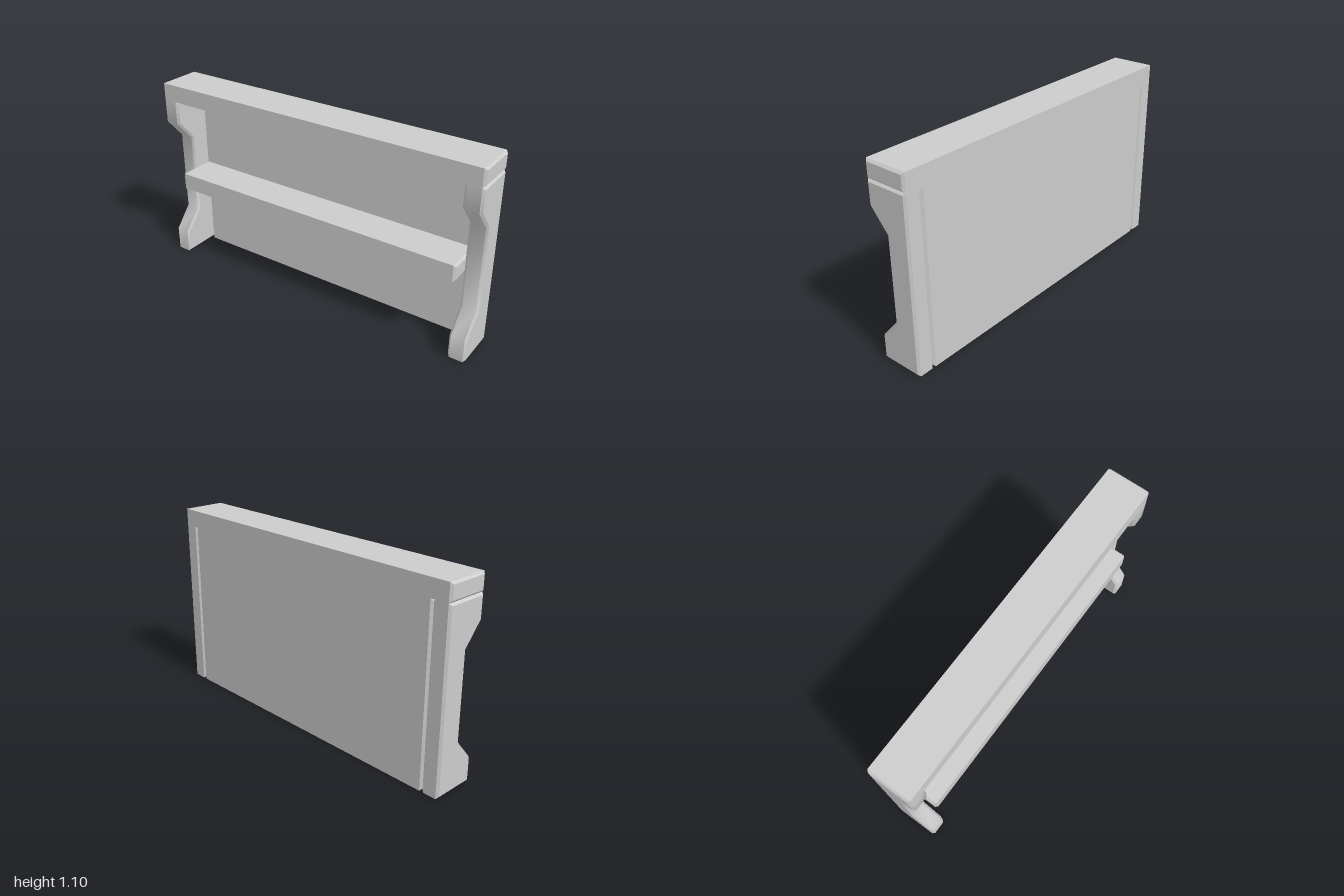
import * as THREE from 'three';
import { toCreasedNormals } from 'three/addons/utils/BufferGeometryUtils.js';

const BEVEL = 0.012;
const CREASE = THREE.MathUtils.degToRad(44);

// Chamfered slab: a (z, y) outline extruded along x, centred on x = 0
function slab(outline, width) {
  const shape = new THREE.Shape(outline.map(([z, y]) => new THREE.Vector2(z, y)));
  const depth = width - 2 * BEVEL;
  const geometry = new THREE.ExtrudeGeometry(shape, {
    depth,
    bevelEnabled: true,
    bevelSegments: 1,
    bevelSize: BEVEL,
    bevelThickness: BEVEL,
    bevelOffset: -BEVEL,
  });
  geometry.translate(0, 0, -depth / 2);
  geometry.rotateY(-Math.PI / 2);
  return toCreasedNormals(geometry, CREASE);
}

const rectangle = (z0, z1, y0, y1) => [[z0, y0], [z1, y0], [z1, y1], [z0, y1]];

export function createModel() {
  const model = new THREE.Group();
  model.name = 'counter';
  const material = new THREE.MeshStandardMaterial({ color: 0xcccccc });

  const add = (name, geometry, x = 0) => {
    const mesh = new THREE.Mesh(geometry, material);
    mesh.name = name;
    mesh.position.x = x;
    model.add(mesh);
  };

  // Counter top, back panel and shelf
  add('counterTop', slab(rectangle(-0.125, 0.125, 1, 1.1), 2));
  add('backPanel', slab(rectangle(-0.125, -0.088, 0, 1), 1.8));
  add('shelf', slab(rectangle(-0.1, 0.125, 0.453, 0.55), 1.8));

  // Side supports, cut back between foot and top
  const support = slab([
    [-0.125, 0], [0.125, 0], [0.125, 0.138], [0.02, 0.26],
    [0.02, 0.745], [0.125, 0.867], [0.125, 1], [-0.125, 1],
  ], 0.1);
  add('leftSupport', support, 0.95);
  add('rightSupport', support, -0.95);

  return model;
}
